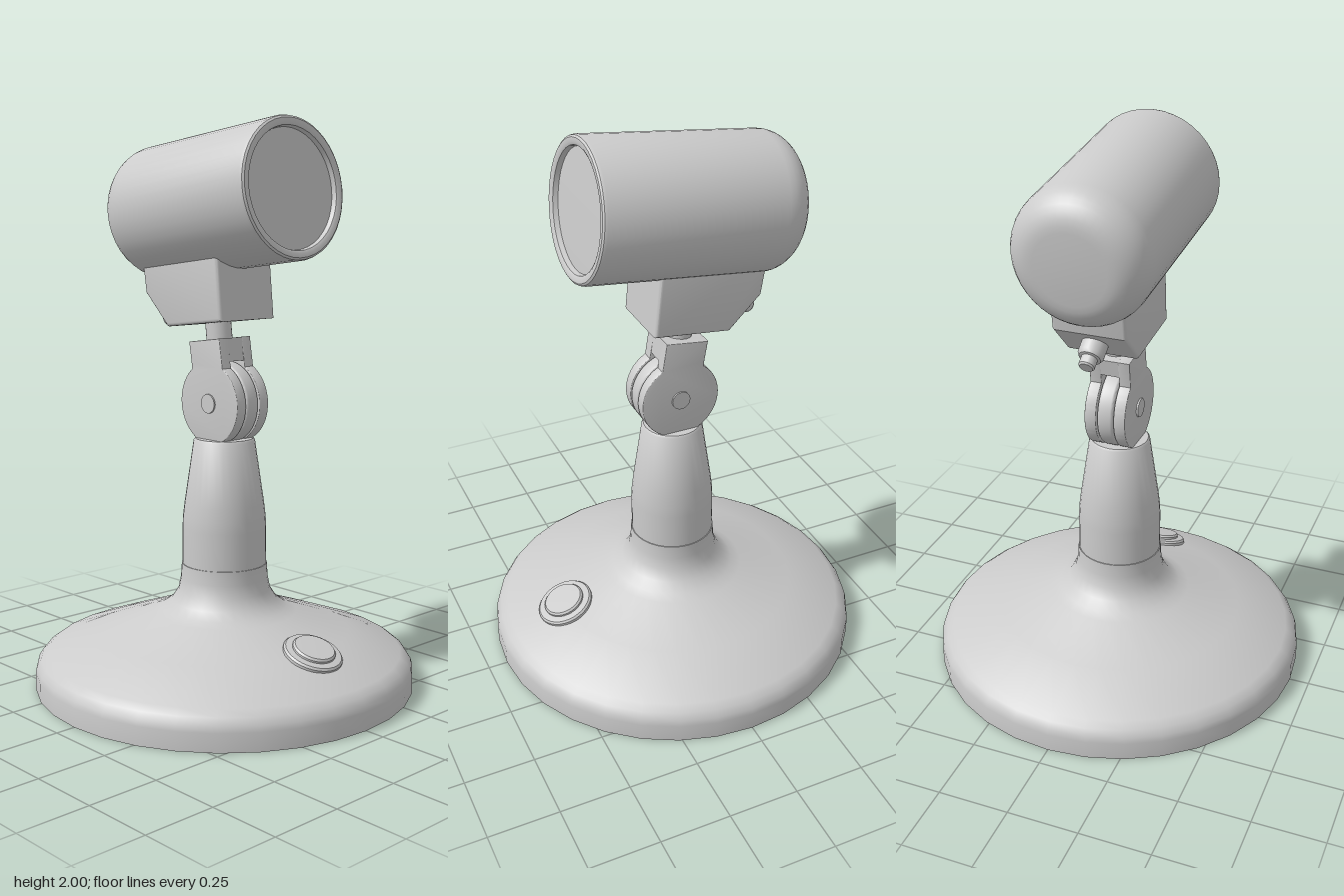
import * as THREE from 'three';
import { toCreasedNormals } from 'three/addons/utils/BufferGeometryUtils.js';

const material = new THREE.MeshStandardMaterial({ color: 0xcccccc });

function part(name, geometry, parent, crease = 0.6) {
  const mesh = new THREE.Mesh(toCreasedNormals(geometry, crease), material);
  mesh.name = name;
  parent.add(mesh);
  return mesh;
}

// Solid of revolution from [radius, height] pairs, listed bottom to top
function lathe(points, segments = 32) {
  return new THREE.LatheGeometry(points.map(([r, y]) => new THREE.Vector2(r, y)), segments);
}

// Side profile drawn in (z, y), extruded across x and centred on x
function sideExtrude(shape, width, bevel = 0) {
  const g = new THREE.ExtrudeGeometry(shape, {
    depth: width - 2 * bevel, curveSegments: 40, bevelEnabled: bevel > 0,
    bevelThickness: bevel, bevelSize: bevel, bevelOffset: -bevel, bevelSegments: 3,
  });
  return g.translate(0, 0, bevel - width / 2).rotateY(-Math.PI / 2);
}

function polygon(points) {
  return new THREE.Shape(points.map(([z, y]) => new THREE.Vector2(z, y)));
}

export function createModel() {
  const model = new THREE.Group();
  model.name = 'spotlight';
  const tilt = 0.12;

  // Weighted base with a flared neck
  part('base', lathe([
    [0, 0], [0.68, 0], [0.68, 0.065], [0.675, 0.085], [0.66, 0.108], [0.635, 0.127],
    [0.45, 0.196], [0.26, 0.264], [0.225, 0.28], [0.19, 0.306], [0.165, 0.345],
    [0.156, 0.39], [0.153, 0.44], [0, 0.44],
  ]), model);

  // Tapered pole
  part('pole', lathe([
    [0, 0.43], [0.15, 0.43], [0.15, 0.57], [0.148, 0.61], [0.142, 0.66],
    [0.109, 0.885], [0.103, 0.892], [0, 0.892],
  ]), model);

  // Push button lying on the sloped base
  const button = new THREE.Group();
  button.name = 'button';
  button.position.set(0, 0.195, 0.435);
  button.rotation.x = 0.35;
  part('buttonCollar', lathe([
    [0, -0.03], [0.104, -0.03], [0.104, 0.012], [0.098, 0.019], [0.08, 0.021], [0, 0.021],
  ]), button);
  part('buttonCap', lathe([
    [0, 0], [0.075, 0], [0.075, 0.028], [0.069, 0.035], [0, 0.037],
  ]), button);
  model.add(button);

  // Hinge: two fork plates around a central tongue
  const cy = 1.02, r = 0.145;
  for (const side of [-1, 1]) {
    const plate = new THREE.Shape();
    plate.absarc(0, cy, r, 2.22, 2 * Math.PI + 1.07, false);
    plate.lineTo(0.053, 1.252);
    plate.lineTo(-0.103, 1.231);
    plate.lineTo(-0.09, 1.155);
    part('forkPlate', sideExtrude(plate, 0.042, 0.003), model).position.x = side * 0.054;
  }
  part('forkBridge', sideExtrude(
    polygon([[0.064, 1.17], [0.053, 1.251], [-0.102, 1.23], [-0.092, 1.17]]), 0.09), model);
  const disc = new THREE.Shape();
  disc.absarc(0, cy, r, 0, 2 * Math.PI, false);
  part('hingeTongue', sideExtrude(disc, 0.058, 0.01), model);
  const pin = new THREE.CylinderGeometry(0.034, 0.034, 0.162, 24).rotateZ(Math.PI / 2);
  part('hingePin', pin, model).position.y = cy;

  // Short stem between the hinge and the bracket
  const stem = part('stem', new THREE.CylinderGeometry(0.046, 0.046, 0.14, 24), model);
  stem.position.set(0, 1.27, -0.028);
  stem.rotation.x = -tilt;

  // Bracket under the lamp head
  part('bracket', sideExtrude(polygon([
    [0.09, 1.62], [0.12, 1.316], [-0.157, 1.284], [-0.274, 1.398], [-0.3, 1.56],
  ]), 0.262, 0.012), model);

  // Adjusting knob on the slanted rear face of the bracket
  const knob = part('knob', lathe([
    [0, -0.02], [0.045, -0.02], [0.045, 0.07], [0.038, 0.082], [0.028, 0.084],
    [0.028, 0.114], [0.023, 0.12], [0, 0.12],
  ], 24), model);
  knob.position.set(0, 1.358, -0.2);
  knob.quaternion.setFromUnitVectors(
    new THREE.Vector3(0, 1, 0), new THREE.Vector3(0, -0.55, -0.835).normalize());

  // Lamp head: rounded back, rolled rim and recessed face
  const length = 0.765, radius = 0.24, fillet = 0.115;
  const profile = [[0, -length - 0.004]];
  for (let i = 0; i <= 8; i++) {
    const a = (i / 8) * Math.PI / 2;
    profile.push([radius - fillet + fillet * Math.sin(a), -length + fillet - fillet * Math.cos(a)]);
  }
  profile.push([radius, -0.015], [0.237, -0.005], [0.23, 0], [0.215, 0],
    [0.206, -0.005], [0.202, -0.022], [0, -0.018]);
  const head = part('lampHead', lathe(profile, 40).rotateX(Math.PI / 2), model);
  head.position.set(0, 1.762, 0.338);
  head.rotation.x = -tilt;

  return model;
}
